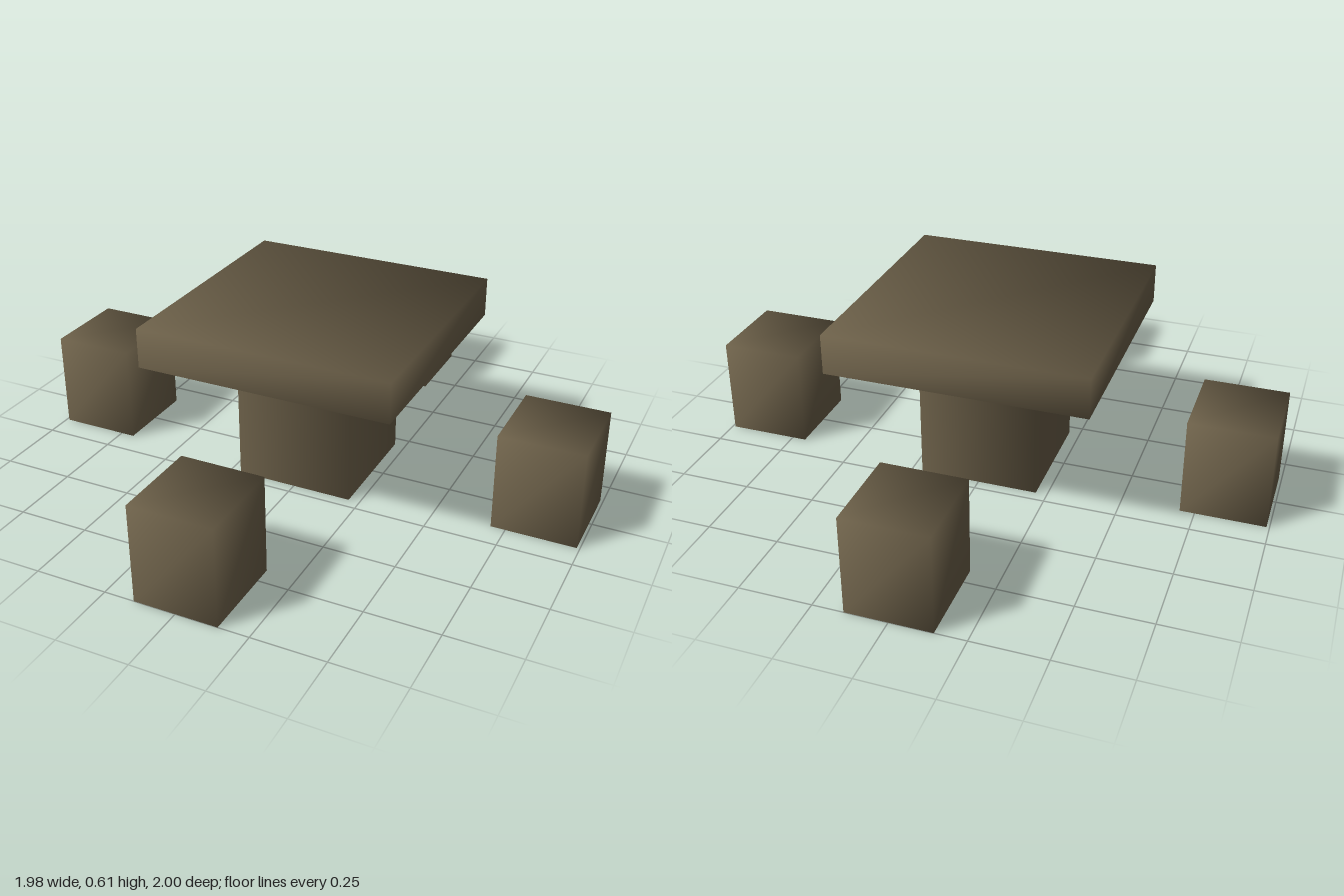
import * as THREE from 'three';

const wood = new THREE.MeshStandardMaterial({ color: 0x6b5f48, side: THREE.DoubleSide });
wood.name = 'brown wood';

// Thin-walled box with an open underside and soft, corner-averaged normals
function shell(name, w, h, d, capped) {
  const geo = new THREE.BoxGeometry(w, h, d);
  const index = Array.from(geo.index.array);
  // Face order is +x, -x, +y, -y, +z, -z with six indices each
  geo.setIndex(index.filter((_, i) => {
    const face = Math.floor(i / 6);
    return face !== 3 && (capped || face !== 2);
  }));
  geo.clearGroups();
  const pos = geo.attributes.position;
  const n = new THREE.Vector3();
  for (let i = 0; i < pos.count; i++) {
    const up = capped && pos.getY(i) > 0 ? 1 : 0;
    n.set(Math.sign(pos.getX(i)), up, Math.sign(pos.getZ(i))).normalize();
    geo.attributes.normal.setXYZ(i, n.x, n.y, n.z);
  }
  geo.translate(0, h / 2, 0); // stand on its base
  const mesh = new THREE.Mesh(geo, wood);
  mesh.name = name;
  return mesh;
}

export function createModel() {
  const model = new THREE.Group();
  model.name = 'table with stools';

  // Table: square top on a central pedestal
  const top = shell('tableTop', 0.895, 0.14, 0.895, true);
  top.position.y = 0.473;
  const pedestal = shell('pedestal', 0.42, 0.473, 0.42, false);
  model.add(top, pedestal);

  // One stool on each side
  const places = { frontStool: [0, 0.845], backStool: [0, -0.845], leftStool: [0.845, 0], rightStool: [-0.845, 0] };
  for (const [name, [x, z]] of Object.entries(places)) {
    const stool = shell(name, 0.29, 0.343, 0.31, true);
    stool.position.set(x, 0, z);
    model.add(stool);
  }
  return model;
}
